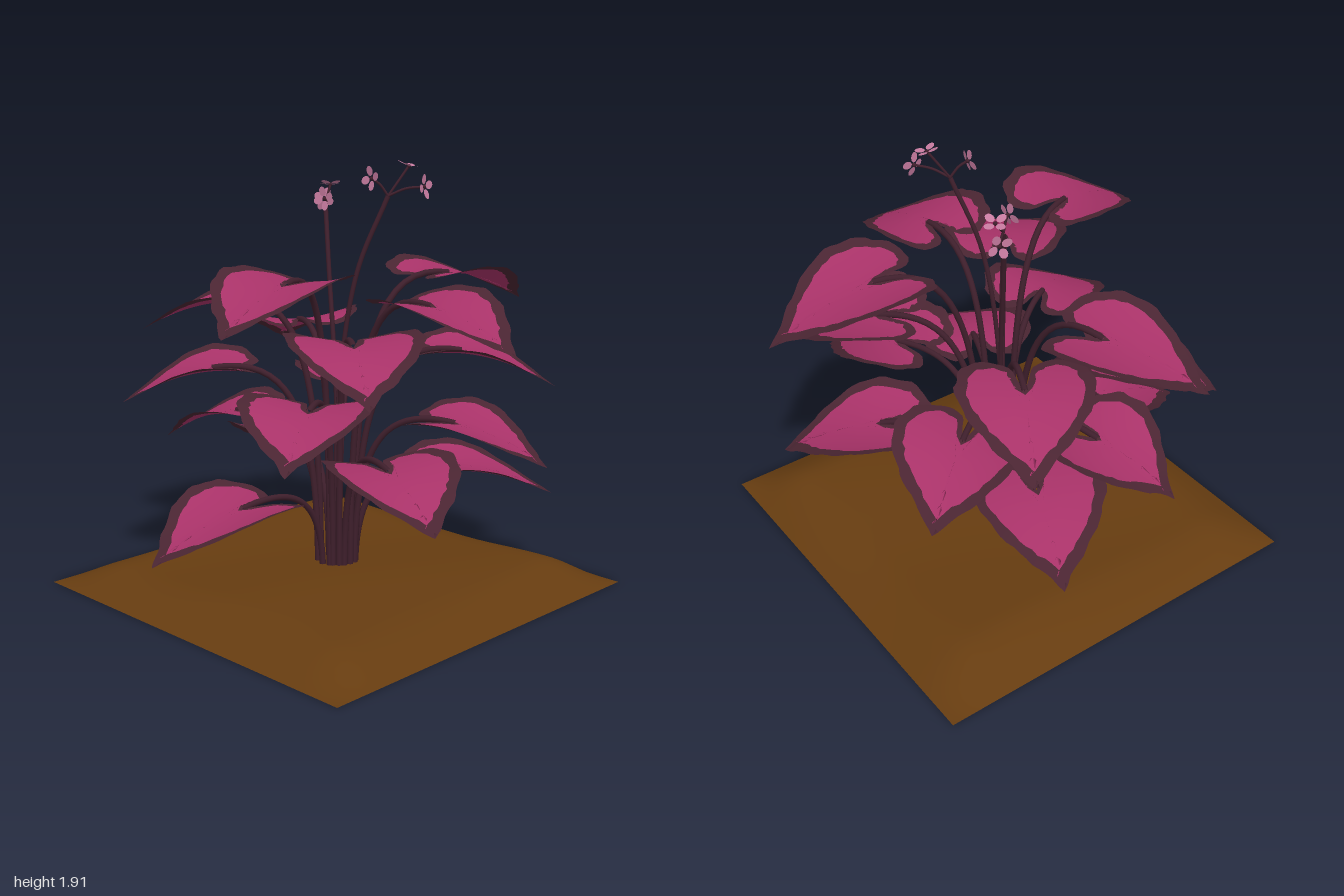
import * as THREE from 'three';

const D = THREE.DoubleSide;
const mat = (name, color, side = THREE.FrontSide) => {
  const m = new THREE.MeshStandardMaterial({ color, side });
  m.name = name;
  return m;
};
const V = (x, y, z) => new THREE.Vector3(x, y, z);
const CX = -0.03, CZ = -0.01; // crown of the plant

// Seeded random for the ragged leaf margins
let seed = 7;
const rnd = () => (seed = (seed * 16807) % 2147483647) / 2147483647;

// Half of the heart outline: x along the leaf from the notch, y across
const HALF = new THREE.CatmullRomCurve3([
  [0.01, 0], [-0.08, 0.025], [-0.17, 0.05], [-0.21, 0.12], [-0.17, 0.21], [-0.06, 0.268],
  [0.07, 0.28], [0.19, 0.24], [0.31, 0.15], [0.4, 0.06], [0.47, 0],
].map(([s, w]) => V(s, w, 0)), false, 'centripetal');

// Each leaf: highest y, stalk angle in degrees (x towards z), tip x, tip z
const LEAVES = [
  [0.52, 92, -0.09, 0.99], [0.585, -53, 0.57, -0.82], [0.65, -160, -0.96, -0.37],
  [0.72, 22, 0.88, 0.36], [0.79, 167, -0.91, 0.25], [0.85, -23, 0.85, -0.39],
  [0.91, -127, -0.62, -0.78], [0.98, 57, 0.49, 0.79], [1.05, 136, -0.71, 0.66],
  [1.13, -45, 0.65, -0.69], [1.18, -154, -0.88, -0.47], [1.25, 38, 0.75, 0.6],
  [1.31, 167, -0.95, 0.36], [1.39, 0, 0.95, -0.02], [1.445, -69, 0.21, -0.99],
  [1.495, 67, 0.28, 0.92],
];

function leafGeometry(notch, tipX, tipZ) {
  const dx = tipX - notch.x, dz = tipZ - notch.z;
  const len = Math.hypot(dx, dz), c = dx / len, n = dz / len, k = len / 0.47;
  const half = HALF.getSpacedPoints(36);
  const rim = [...half, ...half.slice(1, -1).reverse().map(p => V(p.x, -p.y, 0))];
  const N = rim.length, centre = V(0.12, 0, 0);
  // Inner edge of the dark margin, inset along the outline normal
  const inner = rim.map((p, i) => {
    const t = rim[(i + 1) % N].clone().sub(rim[(i + N - 1) % N]).normalize();
    const notchSide = p.x < 0.03 && Math.abs(p.y) < 0.045;
    const d = (notchSide ? 0.026 : 0.047) + (rnd() - 0.5) * 0.012;
    return V(p.x + t.y * d, p.y - t.x * d, 0);
  });
  inner[36].x -= 0.03;
  const outer = rim.map((p, i) => {
    const r = 1 + (p.x > 0 || Math.abs(p.y) > 0.1 ? 0.018 * Math.sin(i * 1.3 + notch.y * 40) + (rnd() - 0.5) * 0.02 : 0);
    return V(centre.x + (p.x - centre.x) * r, p.y * r, 0);
  });
  const rings = [0.3, 0.55, 0.8, 1].map(f => inner.map(p => centre.clone().lerp(p, f)));
  rings.push(outer);
  const pos = [];
  // Droop towards the tip, sides raised into a shallow trough
  const put = ({ x: s, y: w }) => {
    const y = notch.y - 0.08 * s - 0.55 * s * s + 0.7 * w * w;
    pos.push(notch.x + c * s * k - n * w, y, notch.z + n * s * k + c * w);
  };
  put(centre);
  rings.flat().forEach(put);
  const idx = [];
  for (let i = 0; i < N; i++) idx.push(0, 1 + i, 1 + (i + 1) % N);
  for (let r = 0; r < rings.length - 1; r++) {
    for (let i = 0; i < N; i++) {
      const j = (i + 1) % N, a = 1 + r * N, b = a + N;
      idx.push(a + i, b + i, b + j, a + i, b + j, a + j);
    }
  }
  const g = new THREE.BufferGeometry();
  g.setAttribute('position', new THREE.Float32BufferAttribute(pos, 3));
  g.setIndex(idx);
  g.addGroup(0, idx.length - 6 * N, 0);
  g.addGroup(idx.length - 6 * N, 6 * N, 1);
  g.computeVertexNormals();
  return g;
}

// Soil mound: flat base, top rising quickly from the edges
function soilGeometry() {
  const g = new THREE.PlaneGeometry(1.83, 1.82, 48, 48).rotateX(-Math.PI / 2);
  const p = g.attributes.position;
  const rise = d => Math.sin(Math.min(Math.max(d, 0) / 0.28, 1) * Math.PI / 2);
  for (let i = 0; i < p.count; i++) {
    const x = p.getX(i), z = p.getZ(i);
    const bump = 0.012 * Math.sin(5 * x + 2 * z) + 0.01 * Math.sin(4 * z - 3 * x + 1);
    p.setY(i, (0.1 + bump) * rise(0.915 - Math.abs(x)) * rise(0.91 - Math.abs(z)));
  }
  g.computeVertexNormals();
  return g;
}

export function createModel() {
  const model = new THREE.Group();
  model.name = 'pottedFoliagePlant';
  const blade = mat('leaf magenta', 0xa83268, D);
  const margin = mat('leaf margin', 0x4a2532, D);
  const stem = mat('stem', 0x3f1f2c);
  const soil = mat('soil', 0x663c10);
  const petal = mat('petal pink', 0xc87ba0, D);
  const add = (parent, name, geo, m) => {
    const mesh = new THREE.Mesh(geo, m);
    mesh.name = name;
    parent.add(mesh);
    return mesh;
  };
  const tube = (curve, r, seg) => new THREE.TubeGeometry(curve, seg, r, 8);

  // Soil
  add(model, 'soilTop', soilGeometry(), soil).position.set(-0.035, 0, -0.01);
  add(model, 'soilBase', new THREE.PlaneGeometry(1.83, 1.82).rotateX(Math.PI / 2), soil)
    .position.set(-0.035, 0, -0.01);

  // Leaves on arching stalks
  LEAVES.forEach(([top, deg, tx, tz]) => {
    const leaf = new THREE.Group();
    leaf.name = 'leaf';
    const a = deg * Math.PI / 180, y = top - 0.05;
    const at = (r, h) => V(CX + r * Math.cos(a), h, CZ + r * Math.sin(a));
    const notch = at(0.54, y);
    const path = new THREE.CubicBezierCurve3(at(0.085, 0.06), at(0.085, y * 0.8), at(0.2, y + 0.06), at(0.55, y));
    add(leaf, 'leafStalk', tube(path, 0.014, 28), stem);
    add(leaf, 'leafBlade', leafGeometry(notch, tx, tz), [blade, margin]);
    model.add(leaf);
  });

  // Flower: four cupped petals round a dark centre, facing local +z
  const flower = (pos, dir, size) => {
    const f = new THREE.Group();
    f.name = 'flower';
    for (let i = 0; i < 4; i++) {
      const g = new THREE.CircleGeometry(0.5, 14).scale(0.036, 0.044, 1).translate(0, 0.033, 0);
      g.rotateX(0.2).rotateZ(i * Math.PI / 2 + 0.3);
      add(f, 'petal', g, petal);
    }
    add(f, 'flowerCentre', new THREE.SphereGeometry(0.009, 10, 8), stem);
    f.position.copy(pos);
    f.quaternion.setFromUnitVectors(V(0, 0, 1), dir.normalize());
    f.scale.setScalar(size);
    model.add(f);
  };

  // Flower stalks, each with three branches facing up, forward and outward
  const stalks = [
    { path: [[-0.05, 0.06, -0.02], [-0.04, 0.8, -0.02], [-0.17, 1.44, -0.1], [-0.245, 1.7, -0.155]],
      heads: [[-0.28, 1.78, -0.22, -0.2, 1, -0.2], [-0.185, 1.73, -0.09, 0.1, 0.1, 1], [-0.335, 1.71, -0.24, -1, 0.1, -0.3]] },
    { path: [[-0.01, 0.06, 0], [-0.015, 0.8, 0], [0.06, 1.42, -0.04], [0.16, 1.76, -0.13]],
      heads: [[0.205, 1.885, -0.21, 0.2, 1, -0.2], [0.12, 1.835, -0.07, -0.1, 0.1, 1], [0.275, 1.8, -0.23, 1, 0.1, -0.2]] },
  ];
  stalks.forEach(({ path, heads }) => {
    const pts = path.map(p => V(...p));
    const end = pts[3];
    add(model, 'flowerStalk', tube(new THREE.CatmullRomCurve3(pts), 0.0105, 32), stem);
    heads.forEach(([x, y, z, a, b, c], i) => {
      const head = V(x, y, z);
      const mid = end.clone().lerp(head, 0.5).add(V(0, i ? 0.012 : 0, 0));
      add(model, 'flowerBranch', tube(new THREE.CatmullRomCurve3([end, mid, head]), 0.0055, 8), stem);
      flower(head, V(a, b, c), 1);
    });
  });
  return model;
}
